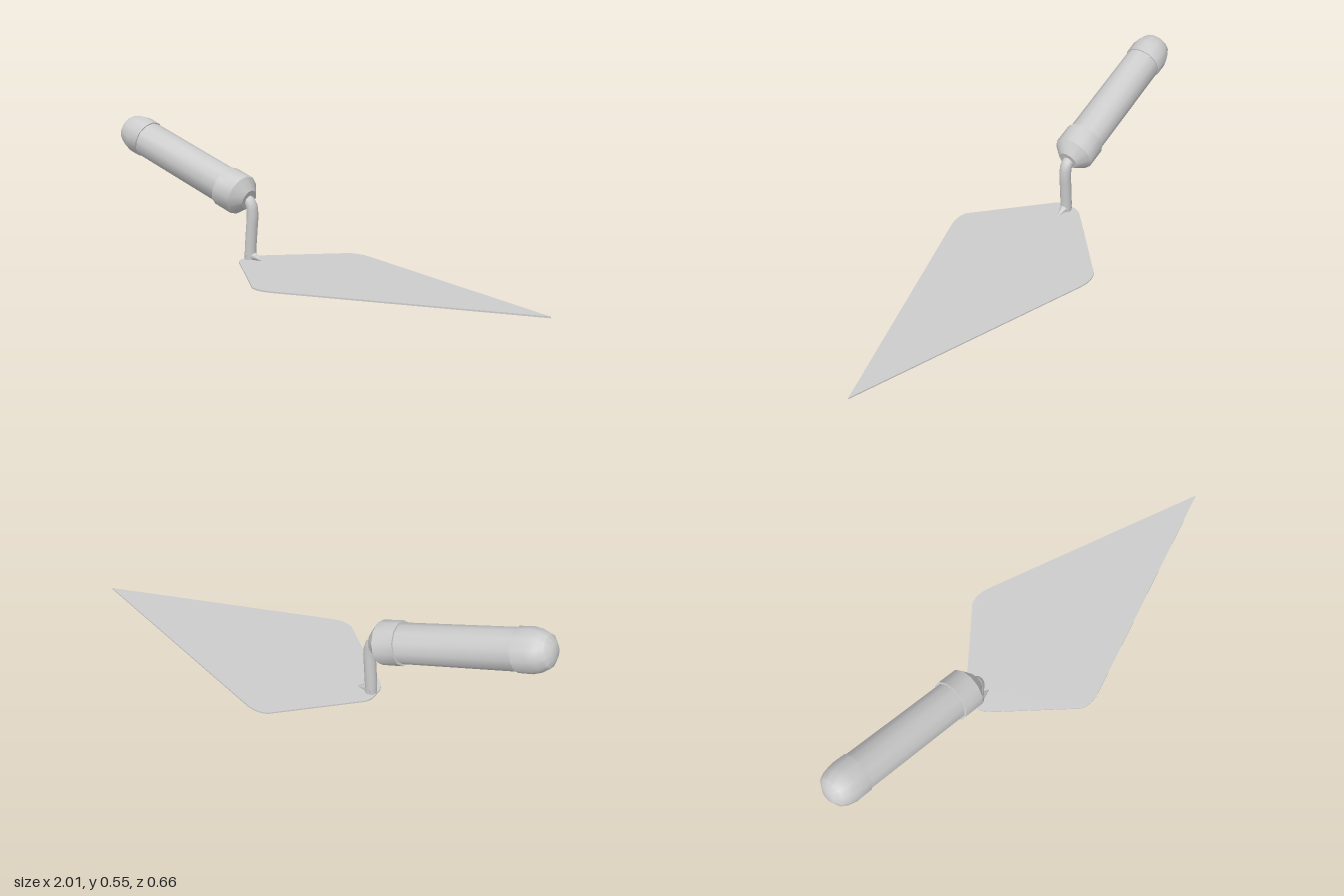
import * as THREE from 'three';
import { toCreasedNormals } from 'three/addons/utils/BufferGeometryUtils.js';

const material = new THREE.MeshStandardMaterial({ color: 0xcccccc, side: THREE.DoubleSide });

function part(name, geometry, parent) {
  const mesh = new THREE.Mesh(geometry, material);
  mesh.name = name;
  parent.add(mesh);
  return mesh;
}

// Turned part from [radius, distance along the handle] pairs
function turned(name, profile, parent) {
  const points = profile.map(([r, t]) => new THREE.Vector2(r, t));
  return part(name, toCreasedNormals(new THREE.LatheGeometry(points, 12), 0.6), parent);
}

export function createModel() {
  const group = new THREE.Group();
  group.name = 'trowel';

  // Flat kite-shaped blade with rounded shoulders and heel
  const s = new THREE.Shape();
  s.moveTo(1, 0);
  s.lineTo(0.06, 0.32);
  s.quadraticCurveTo(0.0, 0.34, -0.04, 0.318);
  s.lineTo(-0.315, 0.066);
  s.quadraticCurveTo(-0.336, 0.045, -0.336, 0.02);
  s.lineTo(-0.336, -0.02);
  s.quadraticCurveTo(-0.336, -0.045, -0.315, -0.066);
  s.lineTo(-0.04, -0.318);
  s.quadraticCurveTo(0.0, -0.34, 0.06, -0.32);
  s.closePath();
  const bladeGeometry = new THREE.ExtrudeGeometry(s, { depth: 0.006, bevelEnabled: false, curveSegments: 6 });
  bladeGeometry.rotateX(-Math.PI / 2);
  part('blade', bladeGeometry, group);

  // Bent neck rising from the heel into the handle
  const neckPath = new THREE.CatmullRomCurve3([
    [-0.311, 0.004], [-0.309, 0.05], [-0.302, 0.13], [-0.297, 0.195], [-0.304, 0.236], [-0.345, 0.264],
  ].map(([x, y]) => new THREE.Vector3(x, y, 0)));
  part('neck', new THREE.TubeGeometry(neckPath, 20, 0.024, 12), group);

  // Pointed foot where the neck runs out on the blade
  const from = new THREE.Vector3(-0.318, 0.028, 0);
  const to = new THREE.Vector3(-0.247, 0.005, 0);
  const axis = to.clone().sub(from);
  const foot = part('neckFoot', new THREE.ConeGeometry(0.026, axis.length(), 12), group);
  foot.position.copy(from).add(to).multiplyScalar(0.5);
  foot.quaternion.setFromUnitVectors(new THREE.Vector3(0, 1, 0), axis.normalize());

  // Tilted handle, its parts turned about one axis
  const handle = new THREE.Group();
  handle.name = 'handle';
  handle.position.set(-0.871, 0.452, 0);
  handle.rotation.z = -1.915;
  group.add(handle);
  turned('grip', [[0.077, -0.03], [0.077, 0.49]], handle);
  turned('buttCap', [[0, -0.134], [0.032, -0.132], [0.06, -0.115], [0.074, -0.088],
    [0.082, -0.055], [0.081, 0], [0.076, 0]], handle);
  turned('ferrule', [[0.076, 0.463], [0.085, 0.463], [0.085, 0.55], [0.042, 0.592], [0, 0.592]], handle);

  return group;
}
